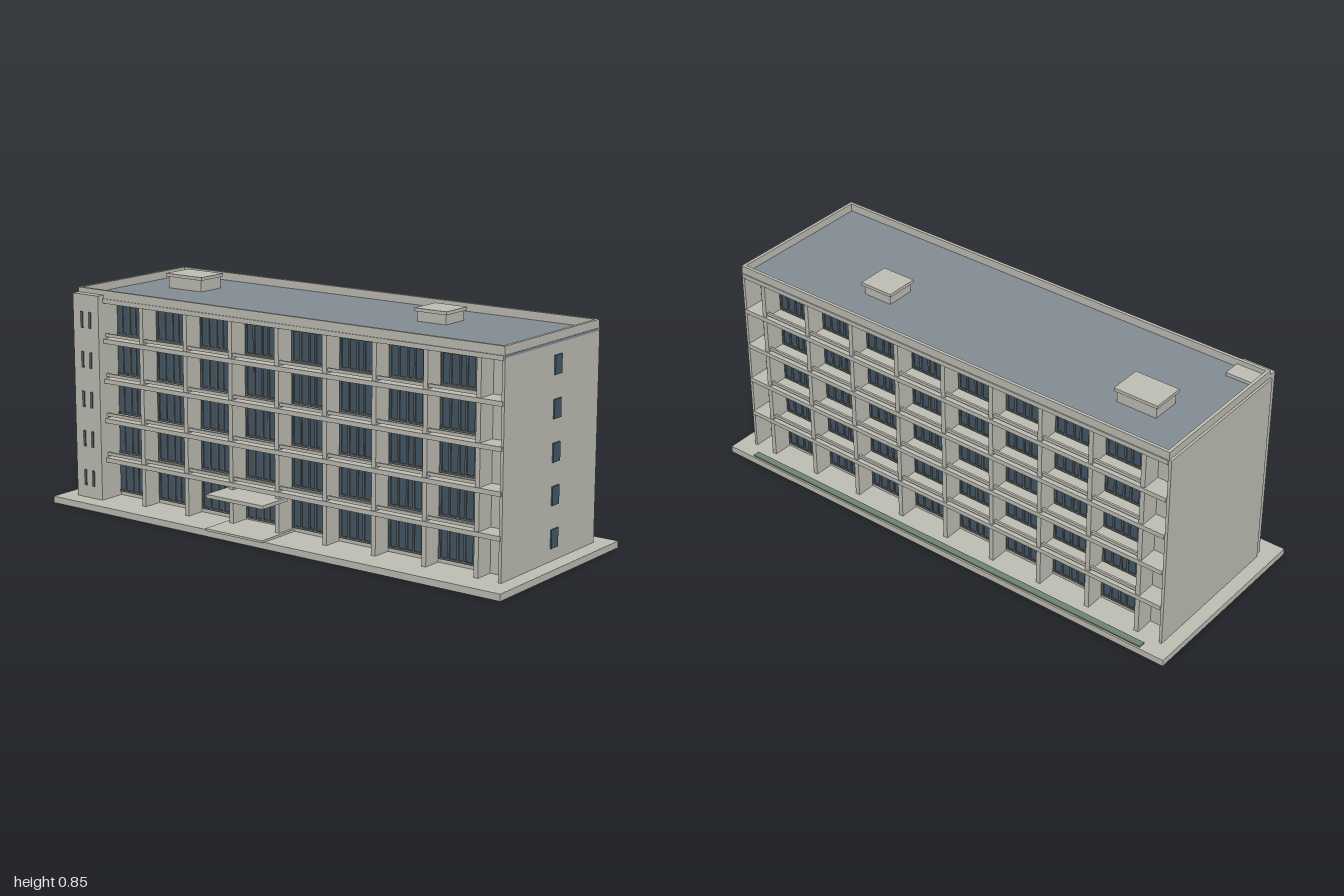
import * as THREE from 'three';
import { mergeGeometries } from 'three/addons/utils/BufferGeometryUtils.js';

const mat = (name, color) => Object.assign(new THREE.MeshStandardMaterial({ color }), { name });

// Box from minimum and maximum corners
function box(x0, x1, y0, y1, z0, z1) {
  return new THREE.BoxGeometry(x1 - x0, y1 - y0, z1 - z0)
    .translate((x0 + x1) / 2, (y0 + y1) / 2, (z0 + z1) / 2);
}

export function createModel() {
  const group = new THREE.Group();
  const concrete = mat('concrete', 0xc0bfb6);
  const roofing = mat('roofing', 0x848e95);
  const glass = mat('glass', 0x435868);
  const frame = mat('window frame', 0x565c5d);
  const green = mat('hedge green', 0x6f8573);

  const add = (name, material, ...boxes) => {
    const mesh = new THREE.Mesh(mergeGeometries(boxes), material);
    mesh.name = name;
    group.add(mesh);
  };

  const FLOORS = 5, H = 0.151, Y0 = 0.025, PITCH = 0.21;
  const FRONT = 0.28, BACK = -0.32, DEPTH = 0.075, END = 0.938;
  const floorY = i => Y0 + i * H;

  // Ground plate, entrance path and hedge strip
  add('groundPlate', concrete, box(-1, 1, 0, Y0, -0.388, 0.378));
  add('entrancePath', concrete, box(-0.24, 0.02, Y0, 0.033, 0.2, 0.39));
  add('hedge', green, box(-0.9, 0.89, Y0, 0.03, -0.382, -0.355));

  // Solid core and end walls
  add('core', concrete, box(-0.925, 0.925, Y0, 0.78, BACK + DEPTH, FRONT - DEPTH));
  add('endWalls', concrete, ...[-1, 1].map(s =>
    box(s * END - 0.009, s * END + 0.002, Y0, 0.79, BACK, FRONT)));

  // Roof deck and parapet
  add('roofDeck', roofing, box(-0.9405, 0.9405, 0.781, 0.79, BACK + 0.001, FRONT - 0.001));
  add('parapet', concrete,
    box(-END, END, 0.788, 0.82, FRONT - 0.012, FRONT),
    box(-END, END, 0.788, 0.82, BACK, BACK + 0.012),
    box(-END, -END + 0.012, 0.788, 0.82, BACK, FRONT),
    box(END - 0.012, END, 0.788, 0.82, BACK, FRONT));

  // Both loggia facades: slabs, columns, rails and windows
  for (const s of [1, -1]) {
    const side = s > 0 ? 'front' : 'back';
    const edge = s > 0 ? FRONT : BACK;
    const wall = edge - s * DEPTH;
    const span = (x0, x1, y0, y1, za, zb) => box(x0, x1, y0, y1, Math.min(za, zb), Math.max(za, zb));
    const slabs = [], columns = [], rails = [], panes = [], frames = [];

    for (let i = 1; i <= FLOORS; i++) {
      const y = floorY(i);
      slabs.push(span(-0.935, 0.935, y - 0.008, y + 0.009, wall, edge + s * 0.004));
    }
    for (let k = 0; k <= 8; k++) {
      const x = (k - 4) * PITCH;
      columns.push(span(x - 0.009, x + 0.009, Y0, 0.785, wall, edge - s * 0.001));
    }
    for (let i = 0; i < FLOORS; i++) {
      const y = floorY(i);
      for (let k = 0; k < 8; k++) {
        const x = (k - 3.5) * PITCH, w = 0.09;
        const y0 = y + 0.014, y1 = y + 0.132;
        panes.push(span(x - w, x + w, y0, y1, wall, wall + s * 0.002));
        // Outer frame and mullions
        const z1 = wall + s * 0.006;
        frames.push(
          span(x - w, x + w, y1 - 0.008, y1, wall, z1),
          span(x - w, x + w, y0, y0 + 0.008, wall, z1));
        for (const m of [-0.086, -0.051, -0.014, 0.014, 0.051, 0.086])
          frames.push(span(x + m - 0.004, x + m + 0.004, y0, y1, wall, z1));
        // Low balcony rail between columns
        if (i > 0) rails.push(span(x - 0.096, x + 0.096, y + 0.016, y + 0.028,
          edge - s * 0.014, edge - s * 0.006));
      }
    }
    add(side + 'Slabs', concrete, ...slabs);
    add(side + 'Columns', concrete, ...columns);
    add(side + 'Rails', concrete, ...rails);
    add(side + 'WindowGlass', glass, ...panes);
    add(side + 'WindowFrames', frame, ...frames);
  }

  // Stair tower with paired slit windows
  add('stairTower', concrete, box(-0.938, -0.812, Y0, 0.802, 0.2, 0.31));
  const slits = [], endWindows = [];
  for (let i = 0; i < FLOORS; i++) {
    const y = floorY(i) + 0.046;
    for (const x of [-0.895, -0.855])
      slits.push(box(x - 0.006, x + 0.006, y, y + 0.062, 0.308, 0.313));
    for (const s of [-1, 1])
      endWindows.push(box(s * 0.942 - 0.003, s * 0.942 + 0.003, y, y + 0.067, -0.07, -0.026));
  }
  add('towerSlitWindows', frame, ...slits);
  add('endWindows', glass, ...endWindows);

  // Entrance canopy
  add('entranceCanopy', concrete, box(-0.24, 0.02, 0.145, 0.158, 0.24, 0.384));

  // Rooftop vents with overhanging caps
  for (const [x0, x1, top] of [[-0.78, -0.605, 0.846], [0.365, 0.5, 0.838]]) {
    add('roofVent', concrete,
      box(x0 + 0.008, x1 - 0.008, 0.788, top - 0.008, -0.154, -0.042),
      box(x0, x1, top - 0.012, top, -0.162, -0.035));
  }
  return group;
}
